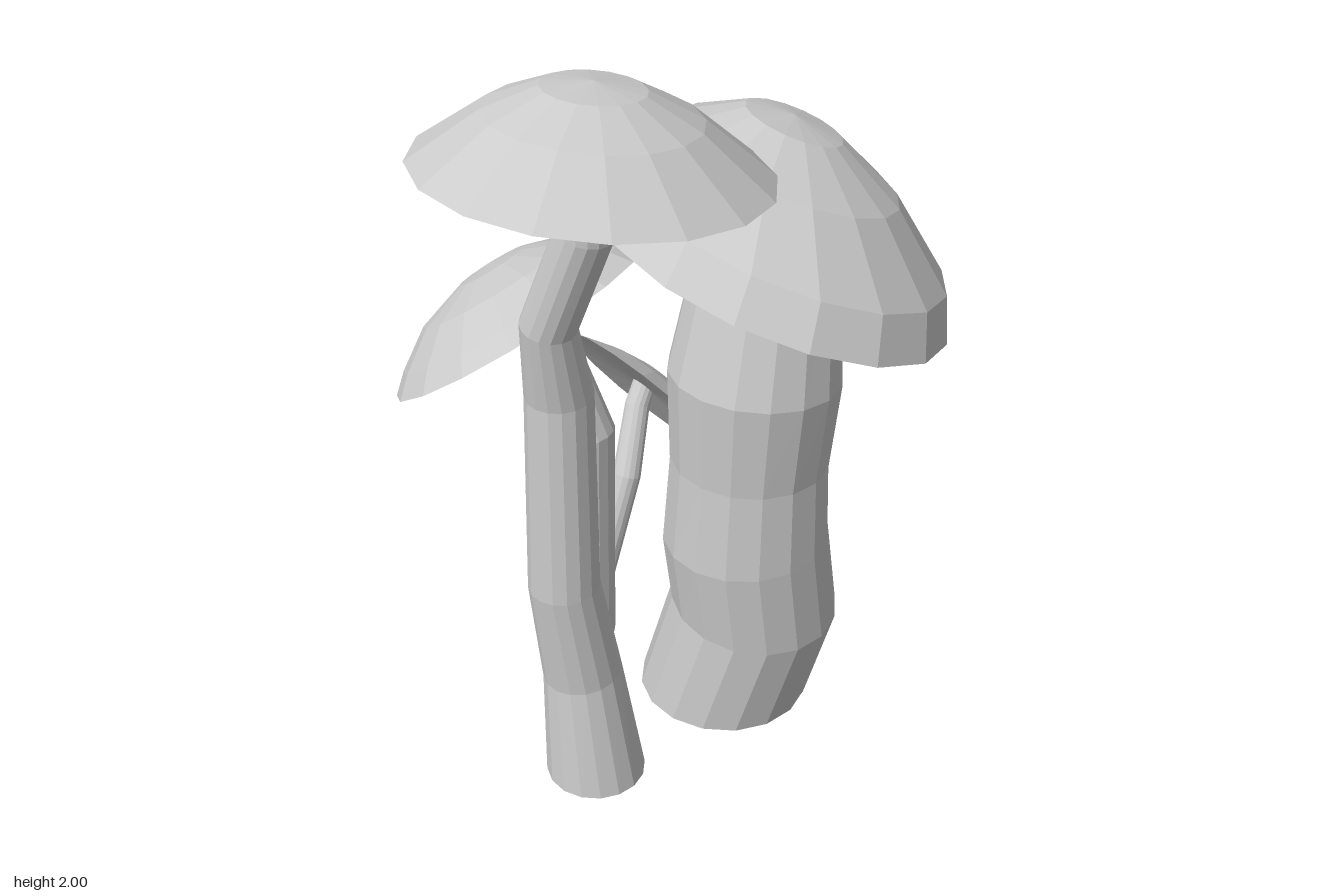
import * as THREE from 'three';

const SIDES = 16;
const UP = new THREE.Vector3(0, 1, 0);
const V = (p) => new THREE.Vector3(...p);

// Ring of points around a centre, perpendicular to the given normal
function ring(center, normal, radius) {
  const q = new THREE.Quaternion().setFromUnitVectors(UP, normal);
  return Array.from({ length: SIDES }, (_, i) => {
    const a = ((i + 0.5) / SIDES) * Math.PI * 2;
    return new THREE.Vector3(Math.cos(a) * radius, 0, Math.sin(a) * radius)
      .applyQuaternion(q).add(center);
  });
}

// Skin a list of rings into one faceted surface
function loft(rings, name) {
  const positions = rings.flat().flatMap((p) => p.toArray());
  const index = [];
  for (let r = 0; r < rings.length - 1; r++) {
    for (let i = 0; i < SIDES; i++) {
      const j = (i + 1) % SIDES;
      const a = r * SIDES + i, b = r * SIDES + j;
      const d = a + SIDES, c = b + SIDES;
      index.push(a, d, b, b, d, c);
    }
  }
  const geometry = new THREE.BufferGeometry();
  geometry.setAttribute('position', new THREE.Float32BufferAttribute(positions, 3));
  geometry.setIndex(index);
  geometry.computeVertexNormals();
  const material = new THREE.MeshStandardMaterial({
    color: 0xcccccc, flatShading: true, side: THREE.DoubleSide,
  });
  const mesh = new THREE.Mesh(geometry, material);
  mesh.name = name;
  return mesh;
}

// Open bent tube; each section is [x, y, z, radius]
function makeStem(sections) {
  const pts = sections.map((s) => V(s.slice(0, 3)));
  const rings = pts.map((p, i) => {
    const next = pts[Math.min(i + 1, pts.length - 1)];
    const prev = pts[Math.max(i - 1, 0)];
    const normal = i === 0 ? UP.clone() : next.clone().sub(prev).normalize();
    return ring(p, normal, sections[i][3]);
  });
  return loft(rings, 'stem');
}

// Leaning dome: profile is [share of radius, share of rise, shift in z];
// hollow is how far the underside is drawn up, as a share of the rise
function makeCap({ center, slope, radius, rise, hollow, profile }) {
  const normal = new THREE.Vector3(-slope[0], 1, -slope[1]).normalize();
  const rings = [[0, hollow], ...profile].map(([r, t, shift = 0]) => {
    const c = V(center).addScaledVector(V(rise), t);
    c.z += shift;
    return ring(c, normal, r * radius);
  });
  return loft(rings, 'cap');
}

const shallow = [[1, 0], [0.6, 0.62], [0.29, 0.92], [0, 1]];
const domed = [[1, 0], [0.92, 0.27, -0.022], [0.62, 0.71], [0.27, 0.95], [0, 1]];
const rounded = [[1, 0], [0.88, 0.27], [0.62, 0.69], [0.27, 0.94], [0, 1]];

const mushrooms = [
  {
    name: 'tallMushroom',
    stem: [
      [0.17, 0, 0.25, 0.13], [0.14, 0.32, 0.267, 0.102], [0.137, 0.62, 0.318, 0.09],
      [0.132, 1.17, 0.317, 0.083], [0.155, 1.38, 0.36, 0.068],
      [0.25, 1.64, 0.327, 0.067], [0.268, 1.92, 0.32, 0.062],
    ],
    cap: {
      center: [0.28, 1.8, 0.328], slope: [0, 0.11], radius: 0.396,
      rise: [0, 0.197, -0.005], hollow: 0.6, profile: shallow,
    },
  },
  {
    name: 'thickMushroom',
    stem: [
      [0.125, 0.005, -0.247, 0.23], [0.202, 0.32, -0.278, 0.224], [0.198, 0.56, -0.24, 0.219],
      [0.202, 0.8, -0.24, 0.206], [0.207, 1.05, -0.243, 0.222],
      [0.2, 1.33, -0.28, 0.186],
    ],
    cap: {
      center: [0.213, 1.34, -0.28], slope: [-0.18, 0.34], radius: 0.463,
      rise: [0, 0.375, -0.055], hollow: -0.08, profile: domed,
    },
  },
  {
    name: 'leaningMushroom',
    stem: [
      [-0.217, 0.08, -0.036, 0.078], [-0.213, 0.55, -0.03, 0.08], [-0.21, 0.75, -0.03, 0.08],
      [-0.272, 0.96, 0.01, 0.068], [-0.322, 1.085, 0.04, 0.064],
    ],
    cap: {
      center: [-0.35, 1.06, 0.075], slope: [0.67, -0.27], radius: 0.374,
      rise: [-0.115, 0.13, 0], hollow: 0.2, profile: rounded,
    },
  },
  {
    name: 'smallMushroom',
    stem: [
      [-0.343, 0.11, -0.175, 0.045], [-0.343, 0.43, -0.285, 0.041],
      [-0.392, 0.61, -0.365, 0.036], [-0.4, 0.67, -0.4, 0.034],
    ],
    cap: {
      center: [-0.382, 0.645, -0.385], slope: [0, 1.34], radius: 0.273,
      rise: [0, 0.035, -0.06], hollow: 0.2, profile: shallow,
    },
  },
];

export function createModel() {
  const model = new THREE.Group();
  model.name = 'mushroomCluster';
  for (const { name, stem, cap } of mushrooms) {
    const group = new THREE.Group();
    group.name = name;
    group.add(makeStem(stem), makeCap(cap));
    model.add(group);
  }
  return model;
}
